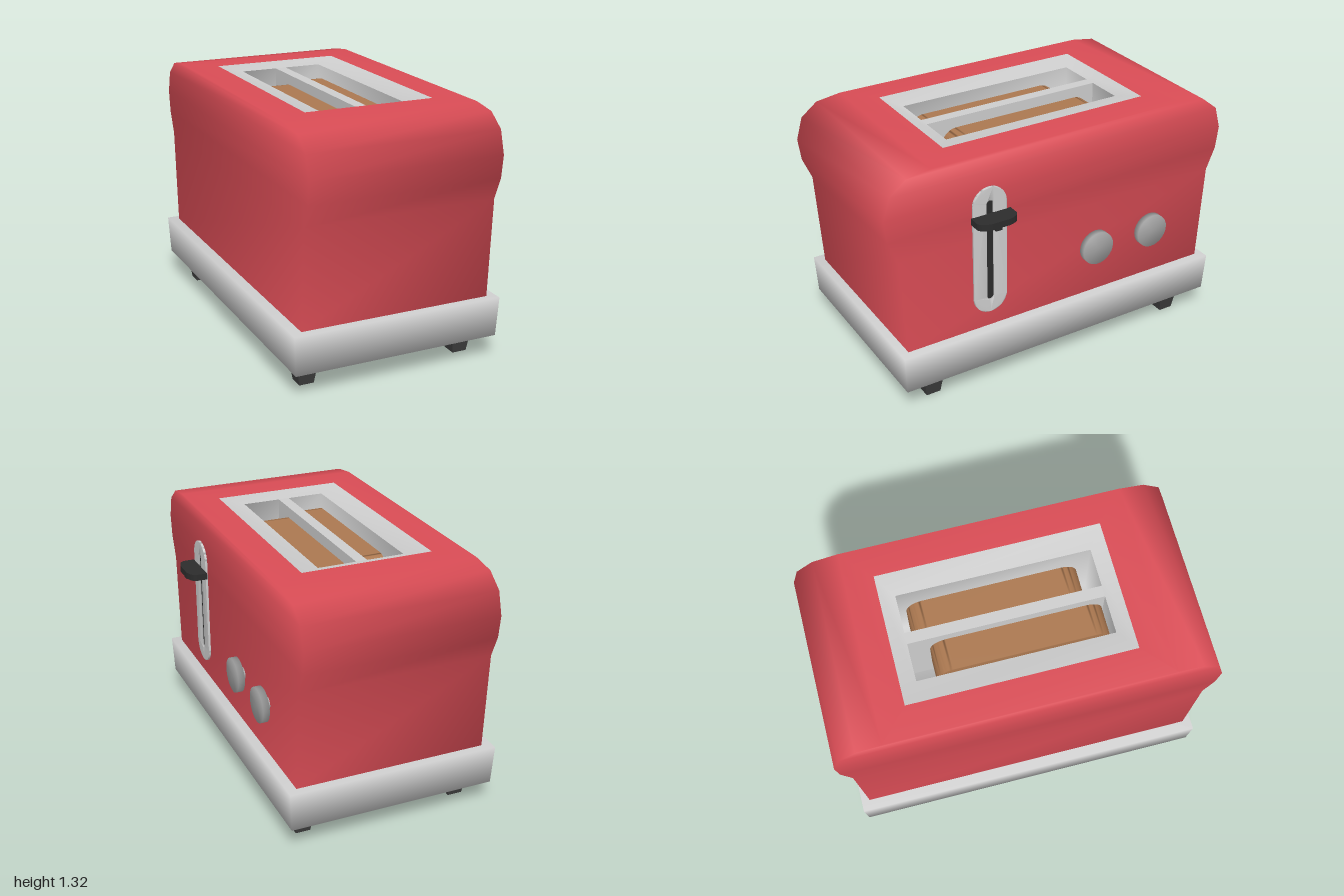
import * as THREE from 'three';
import { mergeVertices } from 'three/addons/utils/BufferGeometryUtils.js';

const material = (name, color, extra = {}) => {
  const m = new THREE.MeshStandardMaterial({ color, ...extra });
  m.name = name;
  return m;
};

// Skin through rectangular rings [x0, x1, halfDepth, y], with shared smooth normals
function loft(rings, capStart, capEnd) {
  const pos = [], index = [];
  for (const [x0, x1, z, y] of rings) pos.push(x0, y, z, x1, y, z, x1, y, -z, x0, y, -z);
  for (let i = 0; i < rings.length - 1; i++) {
    for (let j = 0; j < 4; j++) {
      const a = i * 4 + j, b = i * 4 + (j + 1) % 4;
      index.push(a, b, b + 4, a, b + 4, a + 4);
    }
  }
  const e = (rings.length - 1) * 4;
  if (capStart) index.push(0, 2, 1, 0, 3, 2);
  if (capEnd) index.push(e, e + 1, e + 2, e, e + 2, e + 3);
  const g = new THREE.BufferGeometry();
  g.setAttribute('position', new THREE.Float32BufferAttribute(pos, 3));
  g.setIndex(index);
  g.computeVertexNormals();
  return g;
}

// Weld vertices and soften the shading
function soften(geometry) {
  geometry.deleteAttribute('normal');
  geometry.deleteAttribute('uv');
  const g = mergeVertices(geometry, 1e-4);
  g.computeVertexNormals();
  return g;
}

// Rounded rectangle centred on the origin
function roundedRect(Path, w, h, r) {
  const p = new Path(), a = w / 2 - r, b = h / 2 - r;
  p.absarc(a, b, r, 0, Math.PI / 2);
  p.absarc(-a, b, r, Math.PI / 2, Math.PI);
  p.absarc(-a, -b, r, Math.PI, Math.PI * 1.5);
  p.absarc(a, -b, r, Math.PI * 1.5, Math.PI * 2);
  p.closePath();
  return p;
}

const extrude = (shape, depth) =>
  new THREE.ExtrudeGeometry(shape, { depth, bevelEnabled: false, curveSegments: 8 });

export function createModel() {
  const red = material('red enamel', 0xd94c55);
  const chrome = material('light metal', 0xcdcdcd);
  const grey = material('knob grey', 0xa3a3a3);
  const dark = material('dark plastic', 0x3c3c3c, { flatShading: true });
  const black = material('black plastic', 0x2c2c2c);
  const crust = material('toasted bread', 0xab7850);

  const group = new THREE.Group();
  const add = (name, geometry, mat, x = 0, y = 0, z = 0) => {
    const mesh = new THREE.Mesh(geometry, mat);
    mesh.name = name;
    mesh.position.set(x, y, z);
    group.add(mesh);
    return mesh;
  };

  // Body shell: waisted sides, bulging shoulders, open top
  const profile = [[0.905, 0.34], [0.935, 0.87], [0.985, 0.99], [1, 1.11],
    [0.965, 1.23], [0.875, 1.3], [0.74, 1.32]];
  const rings = profile.map(([z, y]) => [-0.545, 0.485, z, y]);
  add('body', loft([...rings, [-0.38, 0.32, 0.59, 1.32]]), red);

  // Base tray
  add('base', loft([[-0.59, 0.525, 0.94, 0.13], [-0.6, 0.535, 0.95, 0.34]], true, true), chrome);

  // Sloped rim around the slots, the well below it and the divider
  add('slotRim', loft([[-0.38, 0.32, 0.59, 1.32], [-0.265, 0.2, 0.508, 1.295]]), chrome);
  add('slotWell', loft([[-0.265, 0.2, 0.508, 1.295], [-0.265, 0.2, 0.508, 0.85]], false, true), chrome);
  add('slotDivider', new THREE.BoxGeometry(0.06, 0.445, 1.016), chrome, -0.035, 1.0725, 0);

  // Bread slices
  for (const [x, z] of [[-0.232, 0.05], [0, -0.02]]) {
    const slice = soften(extrude(roundedRect(THREE.Shape, 0.9, 0.38, 0.09), 0.165));
    add('breadSlice', slice.rotateY(Math.PI / 2), crust, x, 1.05, z);
  }

  // Lever track: stadium plate with a dark slit
  const track = roundedRect(THREE.Shape, 0.19, 0.715, 0.0949);
  track.holes.push(roundedRect(THREE.Path, 0.04, 0.57, 0.0199));
  add('leverTrack', soften(extrude(track, 0.014)).rotateY(Math.PI / 2), chrome, 0.483, 0.787, 0.435);
  add('leverSlit', new THREE.BoxGeometry(0.006, 0.575, 0.044), black, 0.485, 0.787, 0.435);

  // Lever handle with its stem
  const handle = new THREE.Shape();
  handle.moveTo(0, -0.112);
  handle.lineTo(0.06, -0.112);
  handle.quadraticCurveTo(0.09, -0.105, 0.1, -0.05);
  handle.lineTo(0.1, 0.05);
  handle.quadraticCurveTo(0.09, 0.105, 0.06, 0.112);
  handle.lineTo(0, 0.112);
  add('leverHandle', extrude(handle, 0.035).rotateX(-Math.PI / 2), black, 0.495, 0.966, 0.43);
  add('leverStem', new THREE.BoxGeometry(0.1, 0.03, 0.036), black, 0.533, 0.96, 0.435);

  // Control knobs on short shafts
  for (const z of [-0.19, -0.54]) {
    const knob = soften(new THREE.CylinderGeometry(0.093, 0.093, 0.035, 28));
    add('knob', knob.rotateZ(-Math.PI / 2), grey, 0.5275, 0.63, z);
    const shaft = new THREE.CylinderGeometry(0.035, 0.035, 0.04, 16);
    add('knobShaft', shaft.rotateZ(-Math.PI / 2), grey, 0.495, 0.63, z);
  }

  // Tapered square feet
  for (const x of [-0.47, 0.405]) {
    for (const z of [-0.755, 0.755]) {
      const foot = new THREE.CylinderGeometry(0.083, 0.056, 0.13, 4).rotateY(Math.PI / 4);
      add('foot', foot, dark, x, 0.065, z);
    }
  }
  return group;
}
